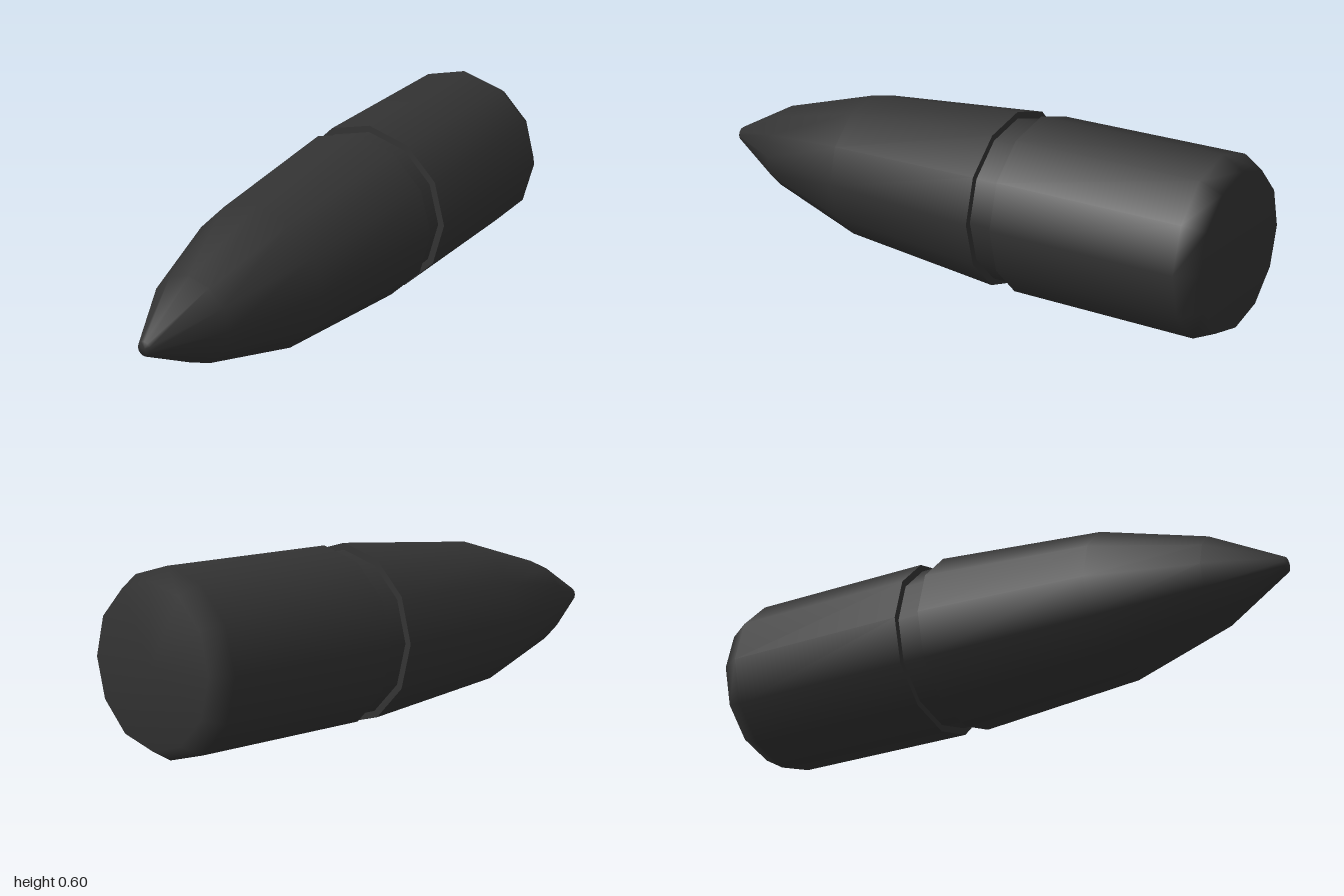
import * as THREE from 'three';

const SIDES = 12;
const AXIS_HEIGHT = 0.3;

export function createModel() {
  const group = new THREE.Group();
  group.name = 'projectile';
  const darkMetal = new THREE.MeshStandardMaterial({ color: 0x333333 });
  darkMetal.name = 'dark metal';

  // Turn a [radius, z] profile, listed from back to front, around the long axis
  function turned(name, profile) {
    const points = profile.map(([r, z]) => new THREE.Vector2(r, z));
    const geometry = new THREE.LatheGeometry(points, SIDES);
    geometry.rotateX(Math.PI / 2);
    const mesh = new THREE.Mesh(geometry, darkMetal);
    mesh.name = name;
    mesh.position.y = AXIS_HEIGHT;
    group.add(mesh);
  }

  // Rear body with a softly shaded chamfered base
  turned('rearBody', [[0, -1], [0.26, -1], [0.3, -0.93], [0.3, -0.27]]);

  // Recessed groove and its two crisp shoulders
  turned('rearShoulder', [[0.3, -0.27], [0.277, -0.27]]);
  turned('groove', [[0.277, -0.27], [0.277, -0.18]]);
  turned('frontShoulder', [[0.277, -0.18], [0.3, -0.18]]);

  // Tapered nose ending in a small flat tip
  turned('nose', [[0.3, -0.18], [0.25, 0.41], [0.147, 0.77], [0.025, 1], [0, 1]]);

  return group;
}
